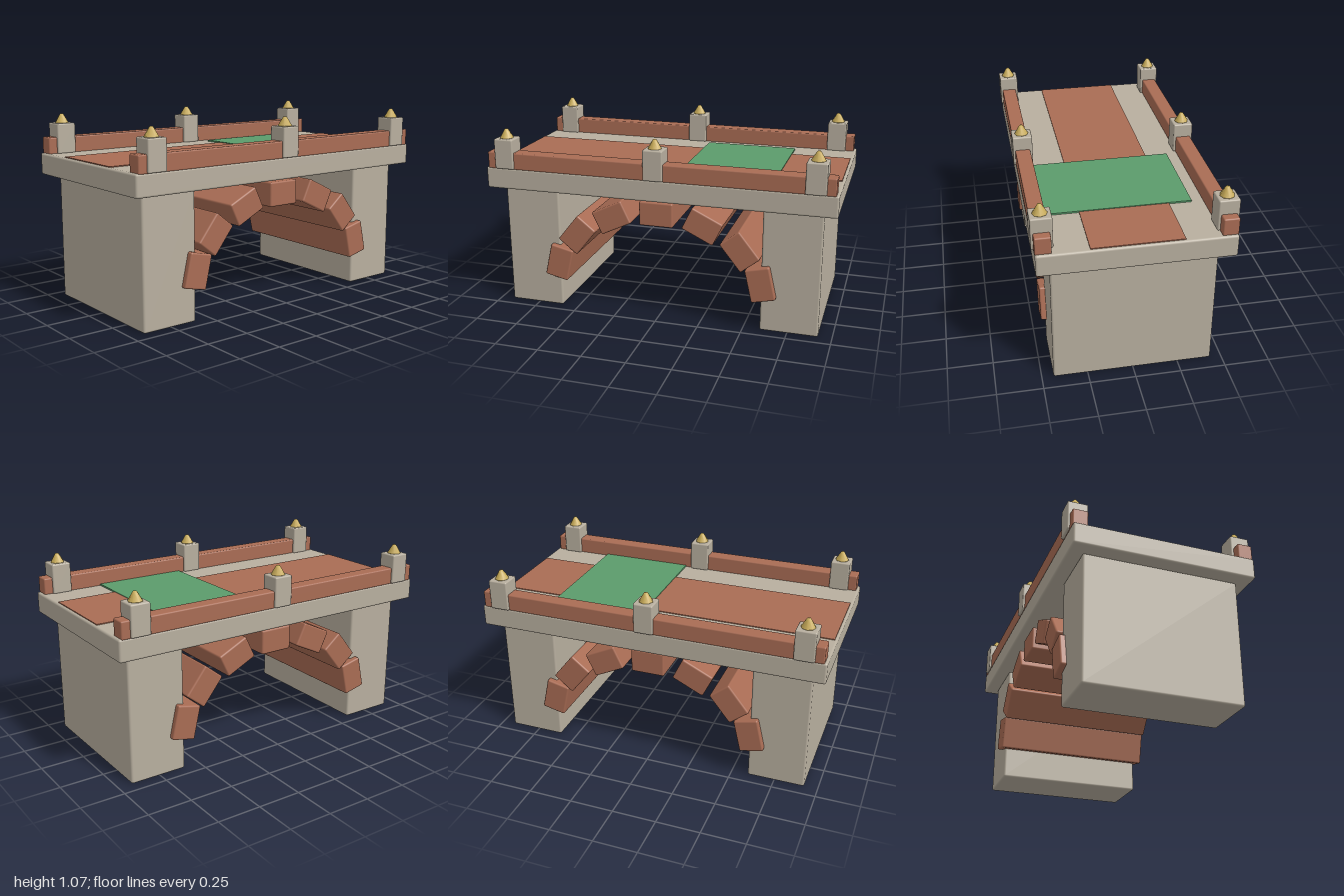
import * as THREE from 'three';
import { RoundedBoxGeometry } from 'three/addons/geometries/RoundedBoxGeometry.js';

function material(name, color) {
  const m = new THREE.MeshStandardMaterial({ color });
  m.name = name;
  return m;
}

export function createModel() {
  const stone = material('stone', 0xb8af9f);
  const brick = material('brick', 0xa96c54);
  const green = material('green', 0x5b9b6b);
  const gold = material('gold', 0xc8ab58);

  const bridge = new THREE.Group();
  bridge.name = 'bridge';

  const add = (name, geometry, mat, x, y, z) => {
    const mesh = new THREE.Mesh(geometry, mat);
    mesh.name = name;
    mesh.position.set(x, y, z);
    bridge.add(mesh);
    return mesh;
  };
  // Box with softly bevelled edges
  const block = (w, h, d, r) => new RoundedBoxGeometry(w, h, d, 2, r);

  // Deck with its inlaid path and a cloth laid across it
  add('deck', block(1.026, 0.123, 2, 0.012), stone, 0, 0.7885, 0);
  add('path', new THREE.BoxGeometry(0.482, 0.009, 1.97), brick, 0, 0.8505, 0);
  add('cloth', new THREE.BoxGeometry(0.8, 0.009, 0.545), green, 0.035, 0.8545, -0.365);

  // Abutments at both ends
  const abutment = block(0.874, 0.723, 0.328, 0.012);
  for (const s of [1, -1]) add('abutment', abutment, stone, 0, 0.3655, s * 0.759);

  // Arch stones spread along a half ellipse, turned evenly
  const archStone = block(0.938, 0.14, 0.195, 0.01);
  for (let i = -3; i <= 3; i++) {
    const a = (i * Math.PI) / 7;
    const mesh = add('archStone', archStone, brick, 0, 0.186 + 0.454 * Math.cos(a), 0.611 * Math.sin(a));
    mesh.rotation.x = a;
  }

  // Parapet rails, posts and finials
  const rail = block(0.085, 0.097, 1.97, 0.008);
  const post = block(0.112, 0.172, 0.112, 0.008);
  const finial = new THREE.LatheGeometry(
    [[0, 0], [0.039, 0], [0.039, 0.003], [0.016, 0.042], [0.009, 0.052], [0, 0.053]]
      .map(([r, y]) => new THREE.Vector2(r, y)), 8);
  for (const s of [1, -1]) {
    add('rail', rail, brick, s * 0.471, 0.8935, 0);
    for (const z of [-0.88, 0, 0.88]) {
      add('post', post, stone, s * 0.47, 0.934, z);
      add('finial', finial, gold, s * 0.47, 1.019, z);
    }
  }
  return bridge;
}
